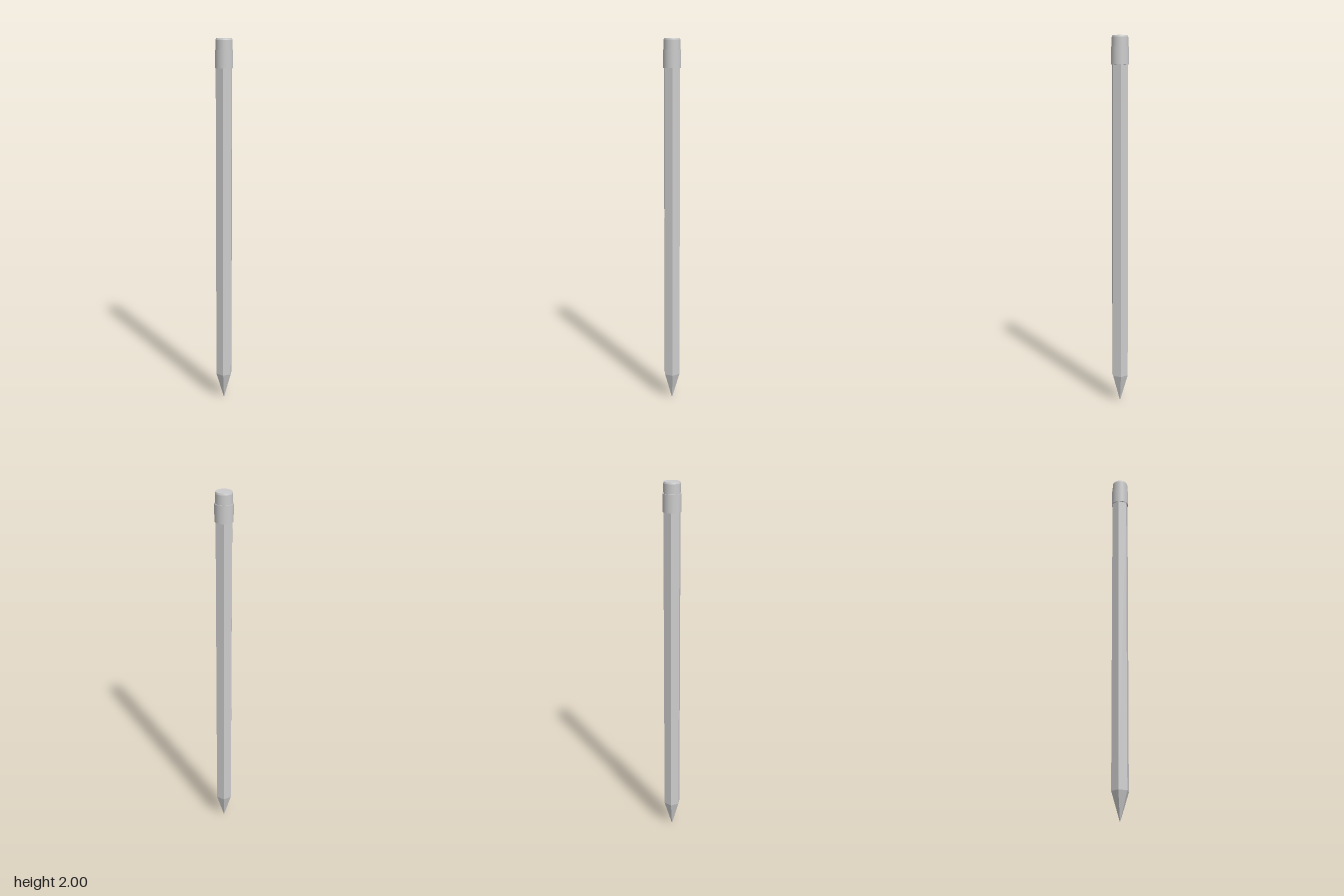
import * as THREE from 'three';

export function createModel() {
  const pencil = new THREE.Group();
  pencil.name = 'pencil';
  const flat = new THREE.MeshStandardMaterial({ color: 0xcccccc, flatShading: true });
  const smooth = new THREE.MeshStandardMaterial({ color: 0xcccccc });

  // Upright tapered cylinder between two heights
  const addPart = (name, rTop, rBottom, y0, y1, sides, material, open = false) => {
    const geometry = new THREE.CylinderGeometry(rTop, rBottom, y1 - y0, sides, 1, open);
    const mesh = new THREE.Mesh(geometry, material);
    mesh.name = name;
    mesh.position.y = (y0 + y1) / 2;
    pencil.add(mesh);
  };

  const HEX = 0.047;

  // Hexagonal sharpened end and shaft, corners at front and back
  addPart('sharpenedTip', HEX, 0.002, 0, 0.147, 6, flat);
  addPart('shaft', HEX, HEX, 0.147, 1.86, 6, flat, true);

  // Round metal sleeve holding the eraser
  addPart('ferrule', 0.0475, 0.0475, 1.85, 1.942, 32, smooth);

  // Eraser with a small bevel around its top
  addPart('eraser', 0.0435, 0.0435, 1.93, 1.992, 32, smooth, true);
  addPart('eraserBevel', 0.0405, 0.0435, 1.992, 2, 32, smooth);

  return pencil;
}
